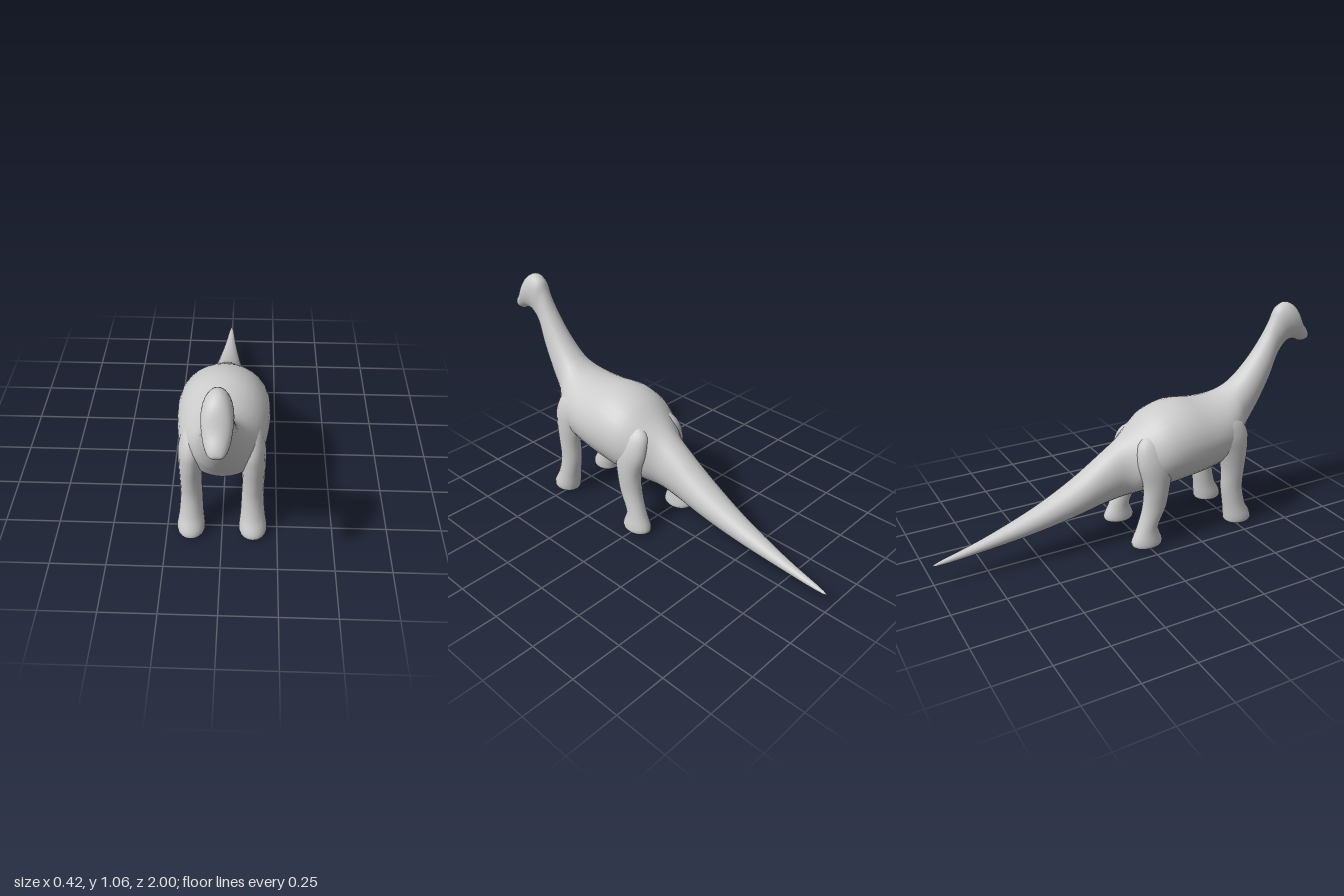
import * as THREE from 'three';

const material = new THREE.MeshStandardMaterial({ color: 0xcccccc });

// Smooth skin over cross-sections. Each row: [z1, y1, z2, y2, halfWidth, centreX],
// where (z1, y1) and (z2, y2) are the opposite outline points of the section.
function loft(name, rows, sides, stepsPerRow, side = 1) {
  const first = new THREE.CatmullRomCurve3(rows.map(r => new THREE.Vector3(r[5] ?? 0, r[1], r[0])));
  const second = new THREE.CatmullRomCurve3(rows.map(r => new THREE.Vector3(r[4], r[3], r[2])));
  const rings = (rows.length - 1) * stepsPerRow;
  const positions = [], indices = [];
  for (let i = 0; i <= rings; i++) {
    const a = first.getPoint(i / rings), b = second.getPoint(i / rings);
    const width = Math.max(b.x, 0);
    for (let j = 0; j < sides; j++) {
      const angle = (j / sides) * Math.PI * 2, c = Math.cos(angle) / 2;
      positions.push(
        a.x * side + width * Math.sin(angle),
        Math.max(0, (a.y + b.y) / 2 + (a.y - b.y) * c),
        (a.z + b.z) / 2 + (a.z - b.z) * c
      );
      if (i === rings) continue;
      const k = (j + 1) % sides, p = i * sides, q = p + sides;
      indices.push(p + j, q + j, p + k, p + k, q + j, q + k);
    }
  }
  const geometry = new THREE.BufferGeometry();
  geometry.setAttribute('position', new THREE.Float32BufferAttribute(positions, 3));
  geometry.setIndex(indices);
  geometry.computeVertexNormals();
  const mesh = new THREE.Mesh(geometry, material);
  mesh.name = name;
  return mesh;
}

// Tail tip to snout: upper outline point, lower outline point, half width
const bodyRows = [
  [-1.0, 0.1, -1.0, 0.1, 0],
  [-0.98, 0.11, -0.98, 0.096, 0.007],
  [-0.77, 0.165, -0.77, 0.112, 0.029],
  [-0.5, 0.26, -0.5, 0.145, 0.06],
  [-0.3, 0.36, -0.31, 0.18, 0.081],
  [-0.15, 0.46, -0.16, 0.21, 0.09],
  [-0.07, 0.513, -0.07, 0.225, 0.105],
  [0.0, 0.56, 0.0, 0.235, 0.15],
  [0.1, 0.63, 0.1, 0.247, 0.197],
  [0.22, 0.66, 0.22, 0.262, 0.21],
  [0.35, 0.647, 0.39, 0.287, 0.2],
  [0.44, 0.648, 0.51, 0.32, 0.18],
  [0.5, 0.663, 0.57, 0.4, 0.142],
  [0.56, 0.7, 0.615, 0.455, 0.102],
  [0.65, 0.79, 0.69, 0.555, 0.077],
  [0.73, 0.9, 0.76, 0.675, 0.06],
  [0.775, 0.985, 0.815, 0.8, 0.048],
  [0.8, 1.035, 0.865, 0.86, 0.055],
  [0.85, 1.06, 0.9, 0.866, 0.06],
  [0.905, 1.035, 0.925, 0.86, 0.058],
  [0.955, 0.95, 0.947, 0.85, 0.049],
  [0.99, 0.905, 0.975, 0.85, 0.035],
  [1.0, 0.88, 0.993, 0.86, 0.02],
  [0.998, 0.87, 0.998, 0.87, 0]
];

// Legs, shoulder or hip down to the sole: front point, back point, half width, centre x
const frontLegRows = [
  [0.45, 0.6, 0.45, 0.6, 0, 0.1],
  [0.53, 0.55, 0.38, 0.56, 0.042, 0.12],
  [0.565, 0.48, 0.37, 0.48, 0.058, 0.13],
  [0.565, 0.4, 0.4, 0.4, 0.056, 0.135],
  [0.552, 0.3, 0.425, 0.3, 0.05, 0.138],
  [0.545, 0.2, 0.43, 0.2, 0.05, 0.136],
  [0.565, 0.1, 0.445, 0.1, 0.056, 0.138],
  [0.597, 0.035, 0.452, 0.035, 0.064, 0.14],
  [0.596, 0.012, 0.457, 0.012, 0.06, 0.14],
  [0.57, 0.004, 0.48, 0.004, 0.042, 0.14],
  [0.525, 0.002, 0.525, 0.002, 0, 0.14]
];
const hindLegRows = [
  [0.05, 0.56, 0.05, 0.56, 0, 0.085],
  [0.12, 0.51, -0.02, 0.51, 0.045, 0.1],
  [0.15, 0.42, -0.035, 0.42, 0.06, 0.122],
  [0.125, 0.3, -0.01, 0.3, 0.053, 0.137],
  [0.105, 0.2, -0.018, 0.2, 0.047, 0.14],
  [0.058, 0.1, -0.05, 0.1, 0.046, 0.145],
  [0.078, 0.03, -0.08, 0.03, 0.055, 0.148],
  [0.075, 0.012, -0.075, 0.012, 0.053, 0.148],
  [0.05, 0.004, -0.05, 0.004, 0.038, 0.148],
  [0.0, 0.002, 0.0, 0.002, 0, 0.148]
];

export function createModel() {
  const model = new THREE.Group();
  model.name = 'longNeckedDinosaur';
  model.add(loft('bodyNeckHeadAndTail', bodyRows, 28, 4));
  for (const [label, side] of [['Left', 1], ['Right', -1]]) {
    model.add(loft('front' + label + 'Leg', frontLegRows, 18, 4, side));
    model.add(loft('hind' + label + 'Leg', hindLegRows, 18, 4, side));
  }
  return model;
}
